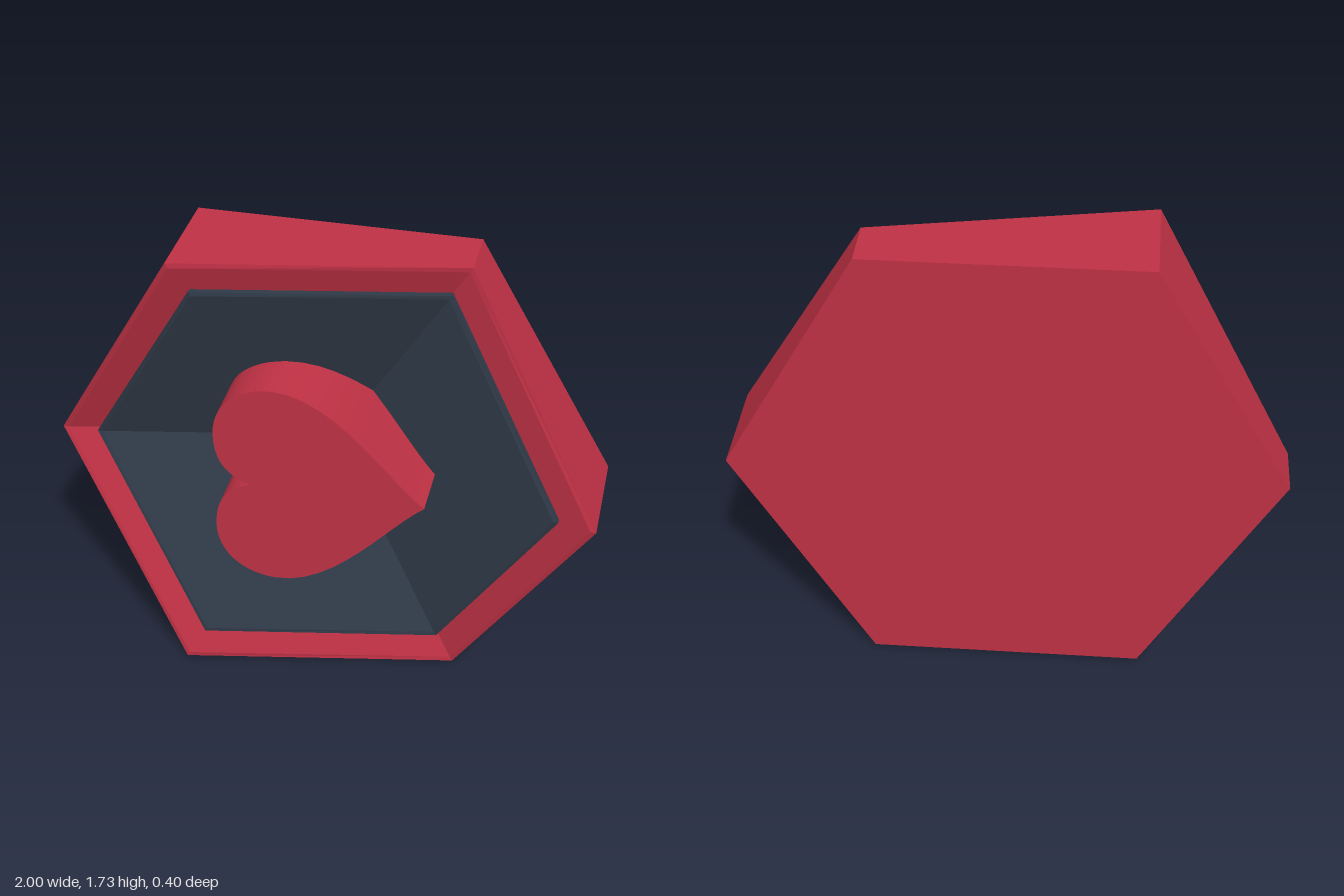
import * as THREE from 'three';

const CENTRE_Y = Math.sqrt(3) / 2;
const RED = 0xbe3144;
const DARK = 0x303a48;

// Hexagonal block: flat back, zigzag rim and a front hollowed like the inside of a cube corner
function dishedHexagon() {
  const positions = [];
  const loop = (radius, depth) => Array.from({ length: 6 }, (_, i) => {
    const a = i * Math.PI / 3;
    return [radius * Math.cos(a), radius * Math.sin(a), depth(i)];
  });
  const zigzag = i => (i % 2 === 0 ? 0.2 : 0);
  const back = loop(1, () => -0.2);
  const rim = loop(1, zigzag);
  const lip = loop(0.98, zigzag);
  const centre = [0, 0, -0.2];

  const tri = (a, b, c) => positions.push(...a, ...b, ...c);
  const quad = (a, b, c, d) => { tri(a, b, c); tri(a, c, d); };
  for (let i = 0; i < 6; i++) {
    const j = (i + 1) % 6;
    tri(centre, back[j], back[i]);                // back
    quad(back[i], back[j], rim[j], rim[i]);       // side wall
    quad(rim[i], rim[j], lip[j], lip[i]);         // thin edge strip
    tri(centre, lip[i], lip[j]);                  // sunken front
  }
  const geometry = new THREE.BufferGeometry();
  geometry.setAttribute('position', new THREE.Float32BufferAttribute(positions, 3));
  geometry.computeVertexNormals();
  return geometry;
}

// Heart lying on its side, tip towards +x
function heartGeometry() {
  const s = new THREE.Shape();
  s.moveTo(0.4, 0);
  s.bezierCurveTo(0.27, 0.1, 0.08, 0.41, -0.14, 0.41);
  s.bezierCurveTo(-0.27, 0.41, -0.36, 0.32, -0.36, 0.2);
  s.bezierCurveTo(-0.36, 0.09, -0.32, 0.03, -0.23, 0);
  s.bezierCurveTo(-0.32, -0.03, -0.36, -0.09, -0.36, -0.2);
  s.bezierCurveTo(-0.36, -0.32, -0.27, -0.41, -0.14, -0.41);
  s.bezierCurveTo(0.08, -0.41, 0.27, -0.1, 0.4, 0);
  const geometry = new THREE.ExtrudeGeometry(s, { depth: 0.35, bevelEnabled: false, curveSegments: 12 });
  return geometry.translate(0, 0, -0.15);
}

export function createModel() {
  const model = new THREE.Group();
  model.name = 'hexagonBadge';

  const add = (name, geometry, color) => {
    const mesh = new THREE.Mesh(geometry, new THREE.MeshStandardMaterial({ color, flatShading: true }));
    mesh.name = name;
    mesh.position.y = CENTRE_Y;
    model.add(mesh);
    return mesh;
  };

  add('frame', dishedHexagon(), RED);
  // Inlaid panel is the same form, slightly smaller, standing just proud of the frame
  add('panel', dishedHexagon(), DARK).scale.setScalar(0.866);
  add('heart', heartGeometry(), RED);

  return model;
}
